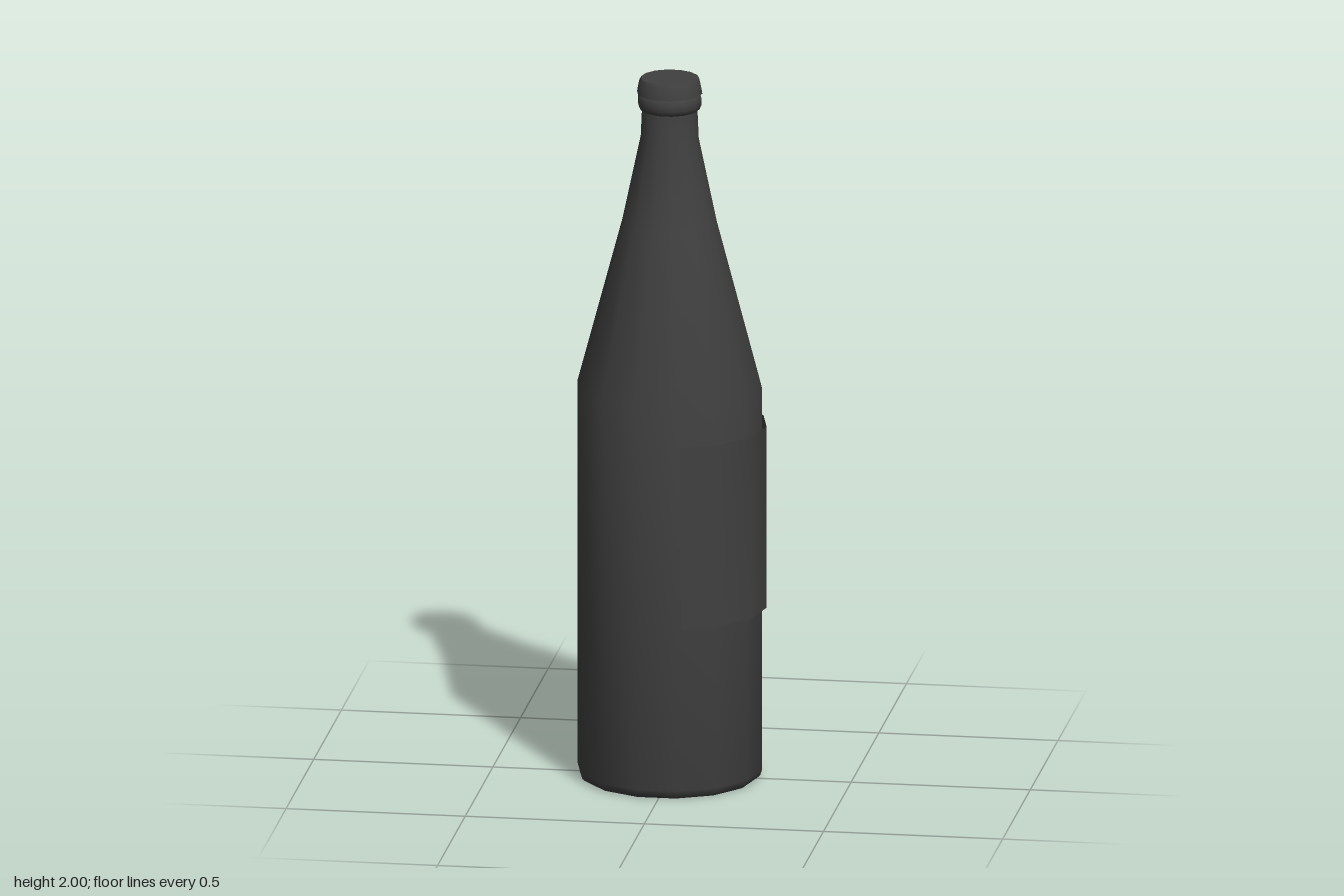
import * as THREE from 'three';
import { toCreasedNormals } from 'three/addons/utils/BufferGeometryUtils.js';

const SIDES = 14;
const OFFSET = 0.0063; // glass sits slightly to -x, label slightly to +x

export function createModel() {
  const group = new THREE.Group();
  group.name = 'bottle';
  const material = new THREE.MeshStandardMaterial({ color: 0x404040 });
  const labelMaterial = new THREE.MeshStandardMaterial({ color: 0x404040, side: THREE.DoubleSide });

  // Turned part from [radius, height] pairs, with corners on the x axis
  function turned(name, profile, x, mat = material, start = Math.PI / 2, segments = SIDES) {
    const points = profile.map(([r, y]) => new THREE.Vector2(r, y));
    const lathe = new THREE.LatheGeometry(points, segments, start, (segments / SIDES) * Math.PI * 2);
    const mesh = new THREE.Mesh(toCreasedNormals(lathe, 0.9), mat);
    mesh.name = name;
    mesh.position.x = x;
    group.add(mesh);
  }

  // Glass: base, straight body, sloping shoulder and neck
  turned('glassBody', [
    [0, 0], [0.242, 0], [0.252, 0.008], [0.2575, 0.025], [0.2575, 1.12],
    [0.132, 1.59], [0.081, 1.83], [0.077, 1.92],
  ], -OFFSET);

  // Rounded ring under the cap
  turned('neckRing', [
    [0.076, 1.908], [0.083, 1.912], [0.089, 1.925], [0.089, 1.942], [0.084, 1.957], [0.076, 1.96],
  ], -OFFSET);

  // Cap with a flared rim and flat top
  turned('cap', [
    [0.076, 1.956], [0.091, 1.957], [0.09, 1.965], [0.085, 1.99], [0.08, 2], [0, 2],
  ], -OFFSET);

  // Label: open sheet around six of the sides, facing +x
  const step = (Math.PI * 2) / SIDES;
  turned('label', [[0.2575, 0.49], [0.2575, 1.01]], OFFSET, labelMaterial, Math.PI / 2 - 3 * step, 6);

  return group;
}
